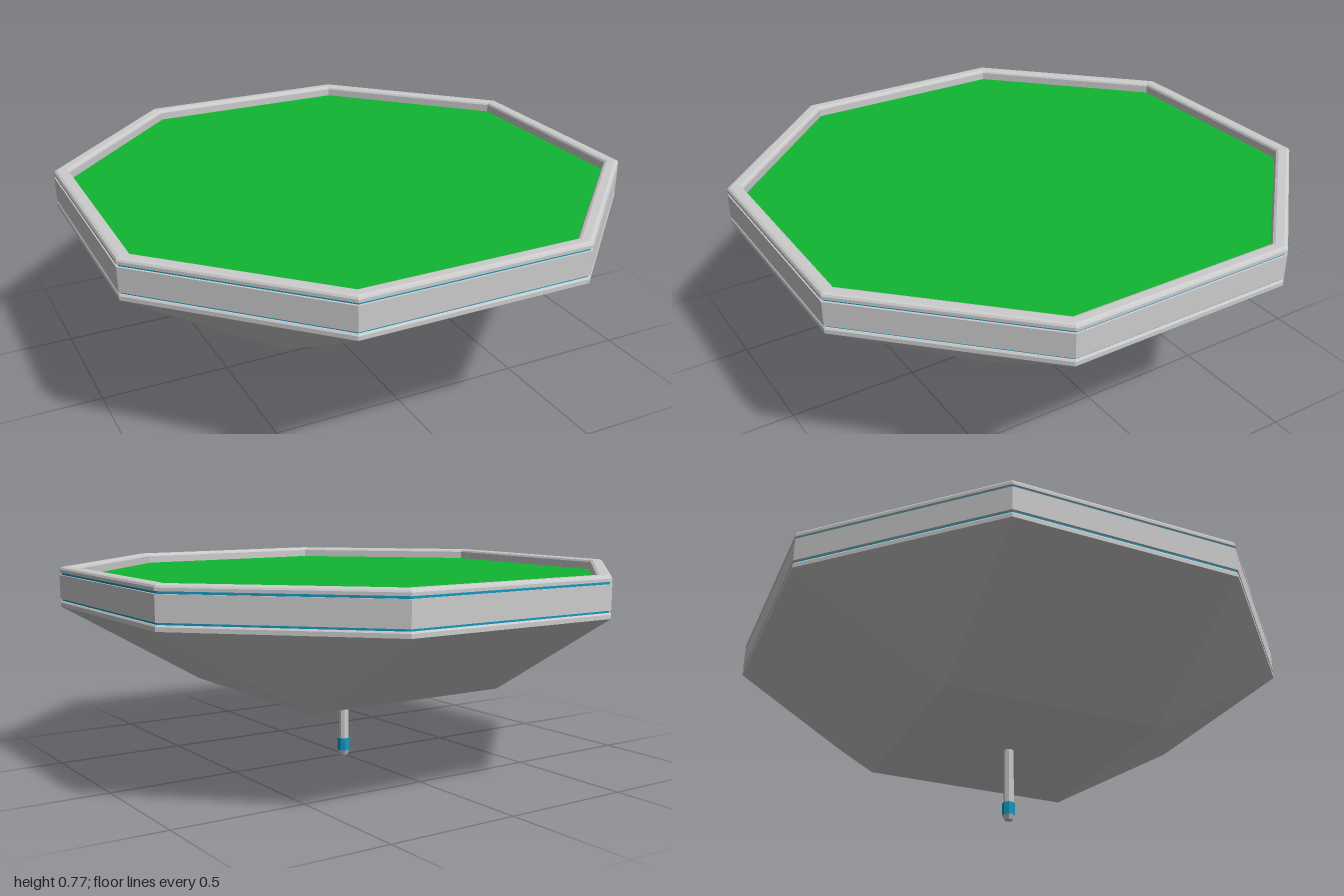
import * as THREE from 'three';
import { ConvexGeometry } from 'three/addons/geometries/ConvexGeometry.js';

const paint = (color) => new THREE.MeshStandardMaterial({ color, flatShading: true });
const grey = paint(0xcccccc), green = paint(0x10b532), blue = paint(0x1498c0);

// Corners [x, z] of the octagon, moved inward by an even distance
function octagon(inset) {
  const a = 1 - inset, c = 0.43 - inset * 0.414;
  return [[a, -c], [a, c], [c, a], [-c, a], [-a, c], [-a, -c], [-c, -a], [c, -a]];
}

// Sweep a profile of [inset, y] points around the octagon
function sweep(profile) {
  const pos = [];
  for (let i = 0; i < profile.length - 1; i++) {
    const [d0, y0] = profile[i], [d1, y1] = profile[i + 1];
    const low = octagon(d0), high = octagon(d1);
    for (let k = 0; k < 8; k++) {
      const n = (k + 1) % 8;
      const A = [low[k][0], y0, low[k][1]], B = [low[n][0], y0, low[n][1]];
      const C = [high[n][0], y1, high[n][1]], D = [high[k][0], y1, high[k][1]];
      pos.push(...A, ...D, ...B, ...D, ...C, ...B);
    }
  }
  const g = new THREE.BufferGeometry();
  g.setAttribute('position', new THREE.Float32BufferAttribute(pos, 3));
  g.computeVertexNormals();
  return g;
}

export function createModel() {
  const model = new THREE.Group();
  model.name = 'octagonalPlatform';
  const add = (name, geometry, material, y = 0) => {
    const mesh = new THREE.Mesh(geometry, material);
    mesh.name = name;
    mesh.position.y = y;
    model.add(mesh);
  };

  // Faceted hull: octagon above, square below
  const points = octagon(0).map(([x, z]) => new THREE.Vector3(x, 0.625, z));
  for (const x of [-0.43, 0.43])
    for (const z of [-0.43, 0.43]) points.push(new THREE.Vector3(x, 0.292, z));
  add('hull', new ConvexGeometry(points), grey);

  // Outer wall in three tiers, parted by thin grooves
  add('lowerLip', sweep([[0, 0.625], [0, 0.64], [0.004, 0.646], [0.012, 0.646]]), grey);
  add('sideBand', sweep([[0.012, 0.654], [0, 0.654], [0, 0.744], [0.012, 0.744]]), grey);
  add('topRim', sweep([[0.012, 0.753], [0, 0.753], [0, 0.764], [0.004, 0.771], [0.013, 0.775],
    [0.042, 0.775], [0.051, 0.771], [0.055, 0.764], [0.055, 0.735]]), grey);

  // Coloured strips at the bottom of the grooves
  add('lowerStrip', sweep([[0.008, 0.645], [0.008, 0.655]]), blue);
  add('upperStrip', sweep([[0.008, 0.743], [0.008, 0.754]]), blue);

  // Recessed green deck
  const deck = new THREE.Shape(octagon(0.055).map(([x, z]) => new THREE.Vector2(x, z)));
  add('deck', new THREE.ShapeGeometry(deck).rotateX(-Math.PI / 2), green, 0.735);

  // Mast hanging below, with coloured collar and tapered tip
  const turn = Math.PI / 8;
  add('mast', new THREE.CylinderGeometry(0.02, 0.02, 0.25, 8).rotateY(turn), grey, 0.18);
  add('mastCollar', new THREE.CylinderGeometry(0.025, 0.025, 0.05, 8).rotateY(turn), blue, 0.044);
  add('mastTip', new THREE.CylinderGeometry(0.025, 0.017, 0.019, 8).rotateY(turn), grey, 0.0095);

  return model;
}
